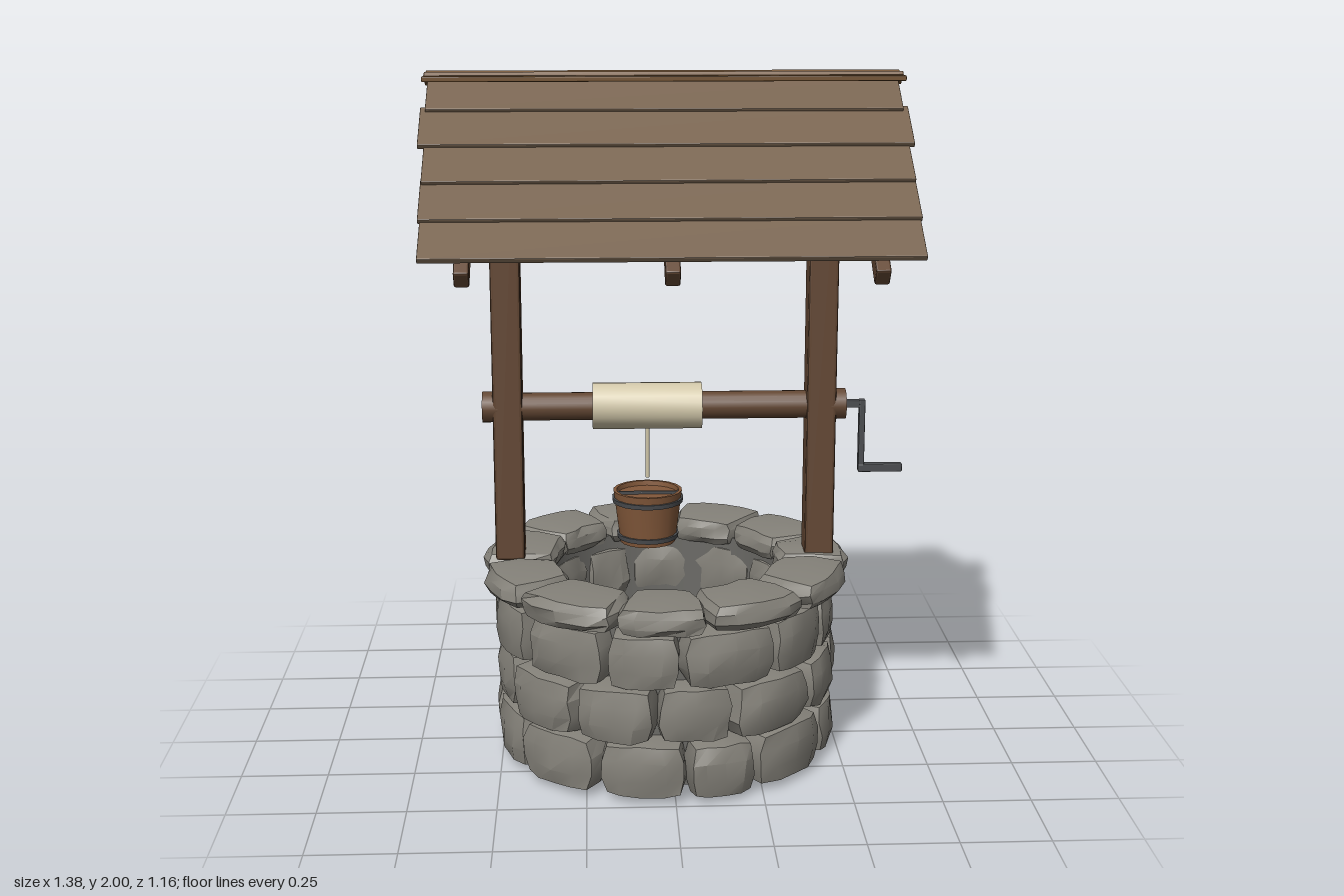
import * as THREE from 'three';
import { mergeVertices, toCreasedNormals } from 'three/addons/utils/BufferGeometryUtils.js';
import { RoundedBoxGeometry } from 'three/addons/geometries/RoundedBoxGeometry.js';

const mat = (color) => new THREE.MeshStandardMaterial({ color, side: THREE.DoubleSide });
const WOOD = mat(0x634733), ROOF = mat(0x77634f), RIDGE = mat(0x70502f), BUCKET = mat(0x82583a);
const STONE = mat(0x85827a), MORTAR = mat(0x6b6a66), FLOOR = mat(0x555452);
const ROPE = mat(0xd2c8aa), METAL = mat(0x4b4d50);
const CX = -0.013; // middle of the well across

let seed = 7;
const rnd = () => (seed = (seed * 16807) % 2147483647) / 2147483647;
const jit = (a) => (rnd() - 0.5) * 2 * a;

function add(parent, name, geo, material, x = 0, y = 0, z = 0) {
  const m = new THREE.Mesh(geo, material);
  m.name = name;
  m.position.set(x, y, z);
  parent.add(m);
  return m;
}

// beam with slightly bevelled edges
const beam = (w, h, d, r = 0.005) =>
  toCreasedNormals(new RoundedBoxGeometry(w, h, d, 1, r), 0.3);
// cylinder lying along x
const rod = (r, len, n = 16) => new THREE.CylinderGeometry(r, r, len, n).rotateZ(Math.PI / 2);

// one chunky stone bent around the well axis
function stone(angle, halfAngle, rMid, rHalf, yMid, yHalf, n) {
  let g = new THREE.BoxGeometry(2, 2, 2, 4, 3, 2);
  g.deleteAttribute('normal');
  g.deleteAttribute('uv');
  g = mergeVertices(g);
  const p = g.attributes.position;
  for (let i = 0; i < p.count; i++) {
    const v = new THREE.Vector3().fromBufferAttribute(p, i);
    const len = Math.pow(Math.abs(v.x) ** n + Math.abs(v.y) ** n + Math.abs(v.z) ** n, 1 / n);
    v.divideScalar(len);
    const a = angle + (v.x + jit(0.05)) * halfAngle;
    const r = rMid + (v.z + jit(0.07)) * rHalf;
    p.setXYZ(i, Math.sin(a) * r, yMid + (v.y + jit(0.04)) * yHalf, Math.cos(a) * r);
  }
  return toCreasedNormals(g, 0.5);
}

function ringOfStones(parent, name, count, start, rMid, rHalf, yMid, yHalf, n) {
  const widths = Array.from({ length: count }, () => 1 + jit(0.2));
  const total = widths.reduce((a, b) => a + b);
  let a = start;
  for (const w of widths) {
    const half = (w / total) * Math.PI;
    add(parent, name, stone(a + half, half * 1.04, rMid + jit(0.008), rHalf, yMid + jit(0.004), yHalf, n), STONE);
    a += half * 2;
  }
}

function buildWall() {
  const g = new THREE.Group();
  g.name = 'stoneWall';
  for (let row = 0; row < 3; row++)
    ringOfStones(g, 'wallStone', 12, 0.1 + row * 0.27, 0.422, 0.083, 0.095 + row * 0.163, 0.088, 4.5);
  ringOfStones(g, 'capStone', 11, 0.2, 0.432, 0.106, 0.552, 0.043, 4.5);
  const liner = [[0.35, 0.03], [0.42, 0.03], [0.42, 0.54], [0.355, 0.54], [0.355, 0.03]]
    .map(([x, y]) => new THREE.Vector2(x, y));
  add(g, 'wallLiner', toCreasedNormals(new THREE.LatheGeometry(liner, 40), 0.5), MORTAR);
  add(g, 'wellFloor', new THREE.CylinderGeometry(0.36, 0.36, 0.02, 40), FLOOR, 0, 0.025);
  return g;
}

function buildFrame() {
  const g = new THREE.Group();
  g.name = 'frame';
  for (const s of [-1, 1]) {
    add(g, 'post', beam(0.086, 1.27, 0.09, 0.009), WOOD, s * 0.456, 1.215);
    const brace = add(g, 'brace', beam(0.4, 0.045, 0.045), WOOD, s * 0.305, 1.65);
    brace.rotation.z = -s * 0.88;
  }
  add(g, 'ridgeBeam', beam(1.13, 0.08, 0.08, 0.009), WOOD, 0, 1.875);
  return g;
}

// one half of the roof; local z runs down the slope
function buildSlope(wideBoard) {
  const g = new THREE.Group();
  g.name = 'roofSlope';
  g.position.y = 1.963;
  g.rotation.x = 0.645;
  for (const x of [-0.542, 0, 0.542])
    add(g, 'rafter', beam(0.04, 0.052, 0.69), WOOD, x, -0.026, 0.385);
  [0.707, 0.565, 0.423, 0.281, 0.139].forEach((end, i) => {
    const len = i === 4 ? 0.13 : 0.165;
    const wide = i === wideBoard ? 1.345 : 1.312 + jit(0.006);
    const b = add(g, 'roofBoard', beam(wide, 0.016, len, 0.003), ROOF, jit(0.003), 0.016, end - len / 2);
    b.rotation.x = -0.07;
    b.rotation.y = jit(0.002);
  });
  return g;
}

function buildRoof() {
  const g = new THREE.Group();
  g.name = 'roof';
  g.add(buildSlope(3));
  const back = new THREE.Group();
  back.name = 'backSlope';
  back.rotation.y = Math.PI;
  back.add(buildSlope(0));
  g.add(back);
  // ridge cap: flat plank with two tilted slats on top
  add(g, 'ridgePlank', beam(1.345, 0.015, 0.134, 0.003), RIDGE, 0, 1.98);
  for (const s of [-1, 1]) {
    const slat = add(g, 'ridgeSlat', beam(1.335, 0.014, 0.05, 0.003), RIDGE, 0, 1.979, s * 0.018);
    slat.rotation.x = -s * 0.64;
  }
  return g;
}

function buildWinch() {
  const g = new THREE.Group();
  g.name = 'winch';
  g.position.y = 1.036;
  add(g, 'axle', rod(0.041, 1.03), WOOD);
  for (const s of [-1, 1]) add(g, 'axleHub', rod(0.046, 0.045, 12), WOOD, s * 0.507);
  add(g, 'ropeCoil', toCreasedNormals(rod(0.068, 0.318, 20), 0.5), ROPE, -0.051);
  add(g, 'rope', new THREE.CylinderGeometry(0.006, 0.006, 0.17, 8), ROPE, -0.05, -0.132);
  // crank of three square bars
  add(g, 'crankShaft', beam(0.07, 0.022, 0.022, 0.003), METAL, 0.553);
  add(g, 'crankArm', beam(0.018, 0.215, 0.024, 0.003), METAL, 0.58, -0.095);
  add(g, 'crankHandle', beam(0.13, 0.024, 0.026, 0.003), METAL, 0.637, -0.194);
  return g;
}

function buildBucket() {
  const g = new THREE.Group();
  g.name = 'bucket';
  g.position.set(-0.05, 0, 0);
  const profile = [[0, 0.625], [0.082, 0.625], [0.102, 0.782], [0.092, 0.782], [0.09, 0.768], [0, 0.768]]
    .map(([x, y]) => new THREE.Vector2(x, y));
  add(g, 'bucketBody', toCreasedNormals(new THREE.LatheGeometry(profile, 18), 0.4), BUCKET);
  add(g, 'lidBar', beam(0.19, 0.012, 0.012, 0.002), METAL, 0, 0.77);
  for (const [y, r] of [[0.754, 0.106], [0.645, 0.092]])
    add(g, 'bucketBand', new THREE.CylinderGeometry(r, r - 0.002, 0.014, 18), METAL, 0, y);
  return g;
}

export function createModel() {
  const model = new THREE.Group();
  model.name = 'wishingWell';
  const body = new THREE.Group();
  body.name = 'well';
  body.position.x = CX;
  body.add(buildWall(), buildFrame(), buildRoof(), buildWinch(), buildBucket());
  model.add(body);
  return model;
}
